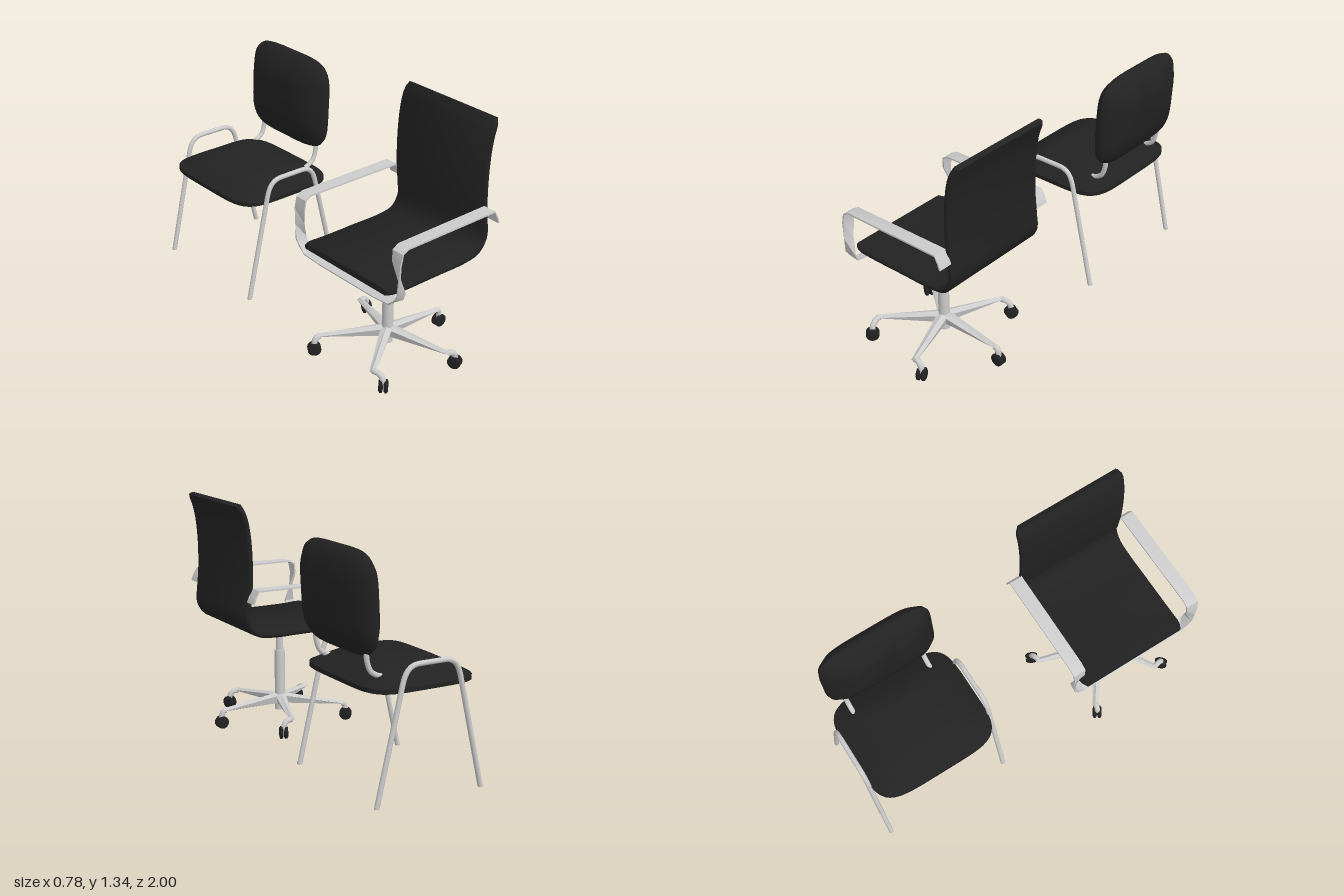
import * as THREE from 'three';
import { toCreasedNormals } from 'three/addons/utils/BufferGeometryUtils.js';

const V = (x, y, z) => new THREE.Vector3(x, y, z);
const metal = new THREE.MeshStandardMaterial({ color: 0xcccccc });
const black = new THREE.MeshStandardMaterial({ color: 0x222222 });

function add(parent, name, geometry, material) {
  const mesh = new THREE.Mesh(geometry, material);
  mesh.name = name;
  parent.add(mesh);
  return mesh;
}

// Closed solid through equal-sized rings of points, capped at both ends
function loft(rings, crease = 0.6) {
  const n = rings[0].length, pts = rings.flat(), idx = [];
  for (let r = 0; r < rings.length - 1; r++) {
    for (let i = 0; i < n; i++) {
      const a = r * n + i, b = r * n + (i + 1) % n;
      idx.push(a, b, a + n, b, b + n, a + n);
    }
  }
  const last = (rings.length - 1) * n;
  for (let i = 1; i < n - 1; i++) idx.push(0, i + 1, i, last, last + i, last + i + 1);
  // Turn the faces outward
  let volume = 0;
  for (let i = 0; i < idx.length; i += 3) {
    volume += pts[idx[i]].dot(pts[idx[i + 1]].clone().cross(pts[idx[i + 2]]));
  }
  if (volume < 0) idx.reverse();
  const g = new THREE.BufferGeometry().setFromPoints(pts);
  g.setIndex(idx);
  return toCreasedNormals(g, crease);
}

// Cushion: rounded outlines stacked along y, each layer is [height, inset]
function cushion(halfX, halfZ, power, layers) {
  const e = 2 / power;
  const p = (v) => Math.sign(v) * Math.abs(v) ** e;
  return loft(layers.map(([y, inset]) => Array.from({ length: 40 }, (_, i) => {
    const a = (i + 0.5) / 40 * Math.PI * 2;
    return V((halfX - inset) * p(Math.cos(a)), y, (halfZ - inset) * p(Math.sin(a)));
  })), 0.8);
}

// Flat band along points, with a half-width vector at each point
function band(points, widths, thick) {
  return loft(points.map((c, i) => {
    const t = points[Math.min(i + 1, points.length - 1)].clone().sub(points[Math.max(i - 1, 0)]);
    const w = widths[i];
    const n = t.cross(w).normalize().multiplyScalar(thick / 2);
    return [[1, 1], [-1, 1], [-1, -1], [1, -1]].map(([a, b]) =>
      c.clone().addScaledVector(w, a).addScaledVector(n, b));
  }));
}

function tube(curve, radius, segments = 40) {
  return new THREE.TubeGeometry(curve, segments, radius, 12, false);
}

function visitorChair() {
  const g = new THREE.Group();
  g.name = 'visitorChair';
  g.position.z = -0.61;

  add(g, 'seatCushion', cushion(0.315, 0.372, 5,
    [[0.58, 0], [0.603, 0], [0.645, 0.075], [0.675, 0.135], [0.69, 0.2]]), black);

  const back = add(g, 'backrest', cushion(0.264, 0.328, 4.5,
    [[-0.088, 0.15], [-0.055, 0.05], [-0.02, 0.008], [0, 0], [0.02, 0.008], [0.055, 0.05], [0.088, 0.15]]), black);
  back.rotation.z = Math.PI / 2 - 0.055;
  back.position.set(0.295, 1, 0);

  for (const s of [1, -1]) {
    // Legs joined by an arch beside the seat
    const path = new THREE.CurvePath();
    const z = s * 0.375;
    path.add(new THREE.LineCurve3(V(-0.307, 0.03, z), V(-0.168, 0.625, z)));
    path.add(new THREE.CubicBezierCurve3(V(-0.168, 0.625, z), V(-0.152, 0.69, z), V(-0.125, 0.716, z), V(-0.07, 0.716, z)));
    path.add(new THREE.LineCurve3(V(-0.07, 0.716, z), V(0.07, 0.716, z)));
    path.add(new THREE.CubicBezierCurve3(V(0.07, 0.716, z), V(0.125, 0.716, z), V(0.152, 0.69, z), V(0.168, 0.625, z)));
    path.add(new THREE.LineCurve3(V(0.168, 0.625, z), V(0.307, 0.03, z)));
    add(g, 'sideFrame', tube(path, 0.0135, 80), metal);
    for (const sx of [1, -1]) {
      add(g, 'foot', new THREE.CylinderGeometry(0.0137, 0.0137, 0.01, 12), metal).position.set(sx * 0.307, 0.033, z);
    }
    // Curved bracket between the seat and the backrest
    const x = s * 0.24;
    add(g, 'backBracket', tube(new THREE.CatmullRomCurve3(
      [V(0.17, 0.635, x), V(0.22, 0.645, x), V(0.262, 0.672, x), V(0.282, 0.72, x), V(0.29, 0.79, x)]), 0.0135, 24), metal);
  }
  return g;
}

function swivelChair() {
  const g = new THREE.Group();
  g.name = 'swivelChair';
  g.position.z = 0.604;

  // One-piece seat and back, swept along its side profile
  const profile = new THREE.CatmullRomCurve3([
    V(-0.335, 0.607, 0), V(-0.25, 0.599, 0), V(0, 0.598, 0), V(0.2, 0.6, 0), V(0.285, 0.62, 0), V(0.332, 0.69, 0),
    V(0.328, 0.77, 0), V(0.317, 0.9, 0), V(0.317, 1.05, 0), V(0.328, 1.18, 0), V(0.345, 1.26, 0), V(0.374, 1.33, 0)]);
  const steps = 48;
  const rings = [];
  for (let i = 0; i <= steps; i++) {
    const u = i / steps;
    const c = profile.getPointAt(u), t = profile.getTangentAt(u);
    const n = V(-t.y, t.x, 0);
    const end = Math.min(i, steps - i);
    const w = 0.326 - (end === 0 ? 0.018 : end === 1 ? 0.004 : 0);
    const h = 0.015;
    rings.push([[w - 0.008, h], [w, h * 0.4], [w, -h * 0.4], [w - 0.008, -h],
      [-w + 0.008, -h], [-w, -h * 0.4], [-w, h * 0.4], [-w + 0.008, h]]
      .map(([z, d]) => c.clone().addScaledVector(n, d).add(V(0, 0, z))));
  }
  add(g, 'seatShell', loft(rings, 0.9), black);

  // Armrest strap: one band down each side, twisting to pass under the seat
  const half = [
    [V(0.338, 0.8, 0.36), V(0, 0, 0.038)],
    [V(0.325, 0.835, 0.36), V(0, 0, 0.038)],
    [V(0.305, 0.87, 0.36), V(0, 0, 0.038)],
    [V(-0.28, 0.867, 0.362), V(0, 0, 0.036)],
    [V(-0.313, 0.848, 0.362), V(0, 0, 0.036)],
    [V(-0.322, 0.79, 0.364), V(-0.004, 0, 0.033)],
    [V(-0.313, 0.7, 0.376), V(-0.016, 0, 0.018)],
    [V(-0.303, 0.615, 0.38), V(-0.03, 0, 0.003)],
    [V(-0.301, 0.578, 0.36), V(-0.03, 0.004, 0)],
    [V(-0.301, 0.558, 0.32), V(-0.03, -0.01, 0)],
    [V(-0.301, 0.552, 0.2), V(-0.03, -0.012, 0)]];
  const flip = V(1, 1, -1);
  const strap = [...half, ...half.slice().reverse().map((s) => s.map((v) => v.clone().multiply(flip)))];
  add(g, 'armrestStrap', band(strap.map((s) => s[0]), strap.map((s) => s[1]), 0.009), metal);

  // Gas lift column
  const cx = -0.03;
  add(g, 'lowerColumn', new THREE.CylinderGeometry(0.03, 0.03, 0.36, 24), metal).position.set(cx, 0.24, 0);
  add(g, 'upperColumn', new THREE.CylinderGeometry(0.0215, 0.0215, 0.18, 24), metal).position.set(cx, 0.5, 0);

  // Five tapered base legs, each ending in a twin-wheel caster
  const casters = [[0.352, 0], [0.138, -0.352], [-0.352, -0.214], [-0.303, 0.273], [0.13, 0.346]];
  casters.forEach(([wx, wz], i) => {
    const a = -i * Math.PI * 2 / 5;
    const dir = V(Math.cos(a), 0, Math.sin(a)), side = V(-dir.z, 0, dir.x);
    const section = (r, w, y0, y1) => [[-w * 0.6, y0], [w * 0.6, y0], [w, y1 - 0.012], [0, y1], [-w, y1 - 0.012]]
      .map(([k, y]) => V(cx, y, 0).addScaledVector(dir, r).addScaledVector(side, k));
    add(g, 'baseLeg', loft([section(0, 0.032, 0.1, 0.162), section(0.37, 0.015, 0.1, 0.116)], 0.3), metal);

    const tip = V(cx, 0.1, 0).addScaledVector(dir, 0.355);
    const hub = V(wx, 0.036, wz);
    add(g, 'casterNeck', tube(new THREE.QuadraticBezierCurve3(
      tip, V(hub.x, 0.108, hub.z), V(hub.x, 0.05, hub.z)), 0.016, 10), metal);

    const caster = new THREE.Group();
    caster.name = 'caster';
    caster.position.copy(hub);
    caster.rotation.y = -Math.atan2(wz, wx - cx);
    for (const s of [1, -1]) {
      const wheel = add(caster, 'wheel', new THREE.LatheGeometry([[0, -0.011], [0.027, -0.011], [0.036, -0.005],
        [0.036, 0.005], [0.027, 0.011], [0, 0.011]].map(([r, y]) => new THREE.Vector2(r, y)), 20), black);
      wheel.rotation.x = Math.PI / 2;
      wheel.position.z = s * 0.0135;
    }
    g.add(caster);
  });
  return g;
}

export function createModel() {
  const model = new THREE.Group();
  model.name = 'officeChairs';
  model.add(visitorChair(), swivelChair());
  return model;
}
